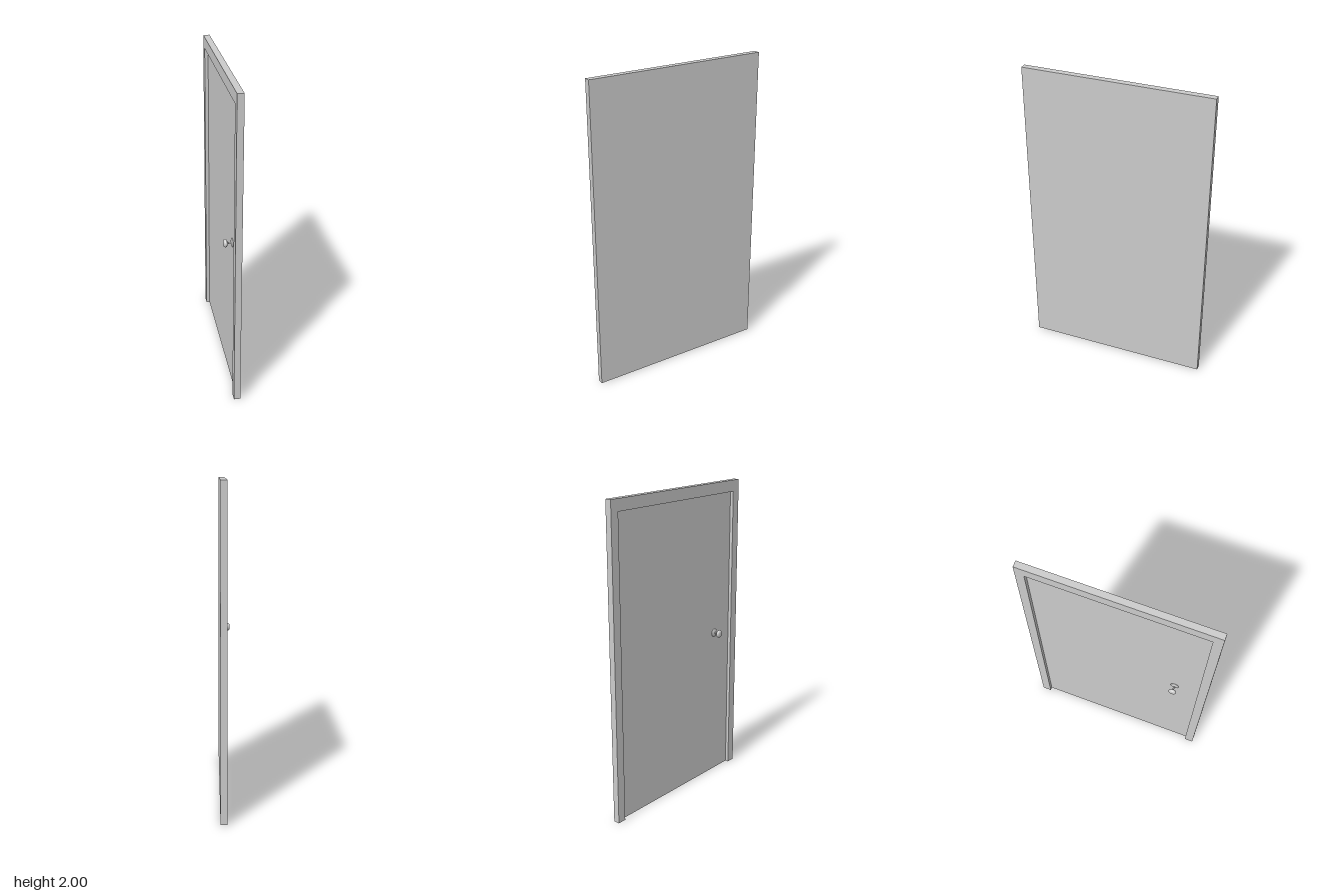
import * as THREE from 'three';

const HALF_WIDTH = 0.593, HEIGHT = 2, JAMB = 0.057, HEADER = 0.073;
const FRONT = -0.003, PANEL = 0.019, BACK = 0.037; // depths along x

export function createModel() {
  const group = new THREE.Group();
  const grey = new THREE.MeshStandardMaterial({ color: 0xcccccc });

  const add = (name, geometry, parent = group) => {
    const mesh = new THREE.Mesh(geometry, grey);
    mesh.name = name;
    parent.add(mesh);
    return mesh;
  };

  // Frame: two jambs and a header in one outline, open at the floor
  const inner = HALF_WIDTH - JAMB, top = HEIGHT - HEADER;
  const outline = new THREE.Shape([
    [-HALF_WIDTH, 0], [-inner, 0], [-inner, top], [inner, top],
    [inner, 0], [HALF_WIDTH, 0], [HALF_WIDTH, HEIGHT], [-HALF_WIDTH, HEIGHT],
  ].map(([z, y]) => new THREE.Vector2(z, y)));
  const frame = new THREE.ExtrudeGeometry(outline, { depth: BACK - FRONT, bevelEnabled: false });
  frame.rotateY(Math.PI / 2).translate(FRONT, 0, 0);
  add('doorFrame', frame);

  // Door panel: recessed on the knob side, flush with the frame on the other
  const panel = new THREE.BoxGeometry(BACK - PANEL, top, inner * 2);
  panel.translate((PANEL + BACK) / 2, top / 2, 0);
  add('doorPanel', panel);

  // Knob parts are turned about an axis pointing out of the panel
  const knob = new THREE.Group();
  knob.name = 'doorKnob';
  knob.position.set(PANEL, 1.003, 0.38);
  knob.rotation.z = Math.PI / 2;
  group.add(knob);
  const turned = (points) => new THREE.LatheGeometry(
    new THREE.SplineCurve(points.map(([r, h]) => new THREE.Vector2(r, h))).getPoints(24), 32);

  add('rosePlate', turned([[0.026, 0], [0.026, 0.003], [0.021, 0.007], [0.012, 0.009], [0, 0.01]]), knob);
  add('knobNeck', new THREE.CylinderGeometry(0.005, 0.006, 0.026, 24, 1, true).translate(0, 0.019, 0), knob);
  add('knobHandle', turned([
    [0.005, 0.029], [0.012, 0.032], [0.022, 0.036], [0.025, 0.043],
    [0.023, 0.05], [0.017, 0.0545], [0.008, 0.056], [0, 0.056],
  ]), knob);

  return group;
}
